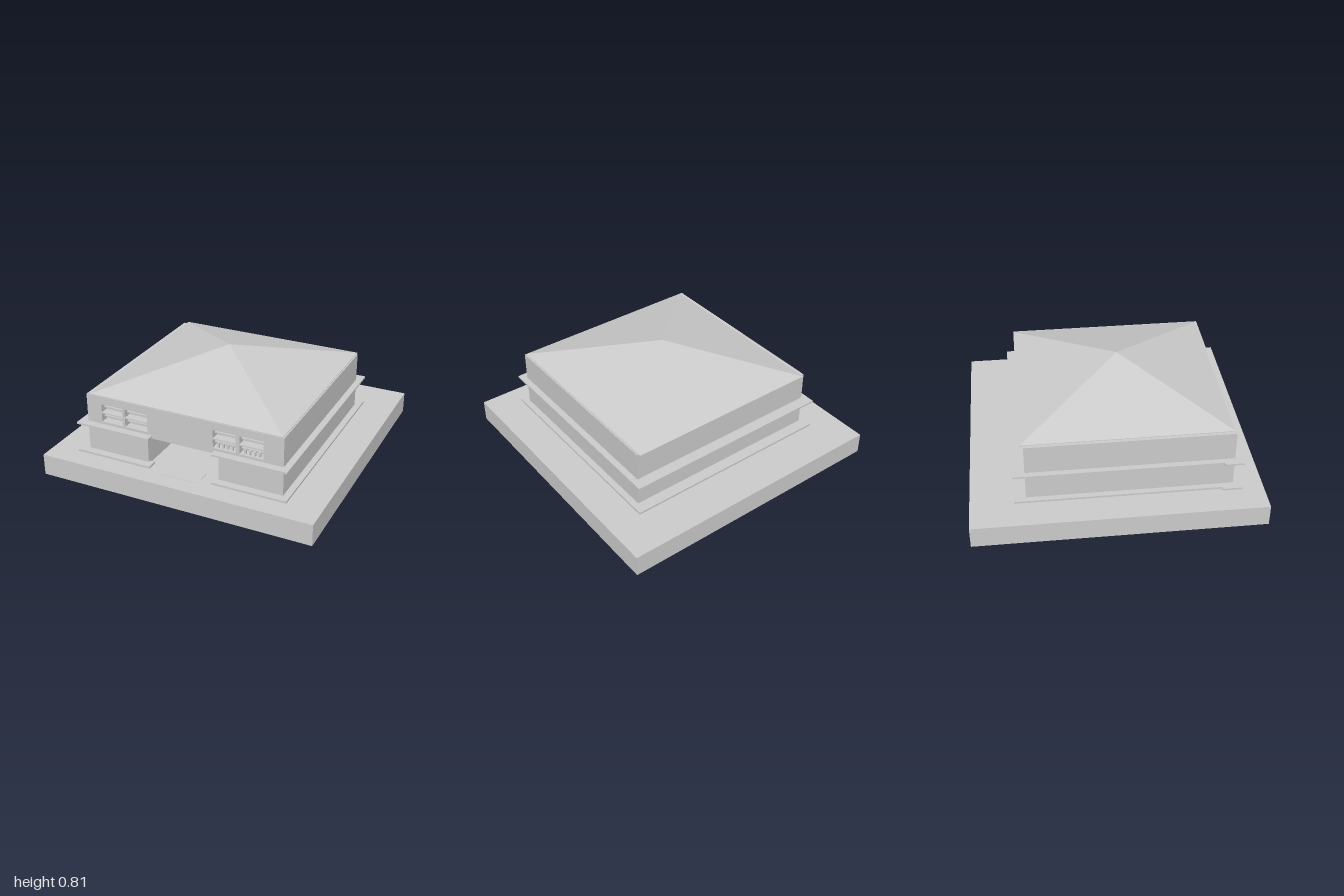
import * as THREE from 'three';

const mat = new THREE.MeshStandardMaterial({ color: 0xcccccc, flatShading: true });
const X0 = -0.745, X1 = 0.715, Y0 = 0.155, Y1 = 0.59, ZB = -0.62, ZF = 0.795;

export function createModel() {
  const group = new THREE.Group();
  const add = (name, geometry) => {
    const mesh = new THREE.Mesh(geometry, mat);
    mesh.name = name;
    group.add(mesh);
    return mesh;
  };
  // Box given by its limits
  const box = (name, x0, x1, y0, y1, z0, z1) =>
    add(name, new THREE.BoxGeometry(x1 - x0, y1 - y0, z1 - z0))
      .position.set((x0 + x1) / 2, (y0 + y1) / 2, (z0 + z1) / 2);
  // Wall slice with an entrance cut up from the floor and optional holes
  const slice = (name, z0, z1, entrance, holes = []) => {
    const pts = [[X0, Y0], ...entrance, [X1, Y0], [X1, Y1], [X0, Y1]];
    const shape = new THREE.Shape(pts.map(p => new THREE.Vector2(...p)));
    for (const [a, b, c, d] of holes) {
      shape.holes.push(new THREE.Path([[a, c], [a, d], [b, d], [b, c]].map(p => new THREE.Vector2(...p))));
    }
    add(name, new THREE.ExtrudeGeometry(shape, { depth: z1 - z0, bevelEnabled: false })).position.z = z0;
  };

  // Ground block
  box('base', -1, 1, 0, Y0, -1, 1);

  // Window openings: two columns and two rows on each side
  const columns = [[-0.63, -0.467], [-0.447, -0.275], [0.215, 0.38], [0.405, 0.575]];
  const windows = columns.flatMap(([a, b]) => [[a, b, 0.402, 0.464], [a, b, 0.472, 0.533]]);

  // Building, sliced from front to back around the entrance
  const square = [[-0.275, Y0], [-0.275, 0.36], [0.255, 0.36], [0.255, Y0]];
  const haunched = [[-0.275, Y0], [-0.275, 0.3], [-0.09, 0.358], [0.07, 0.358], [0.255, 0.3], [0.255, Y0]];
  slice('frontWall', 0.735, ZF, square, windows);
  slice('entranceHall', 0.6, 0.735, square);
  slice('haunchedHall', 0.2, 0.6, haunched);
  box('rearBlock', X0, X1, Y0, Y1, ZB, 0.2);

  // Thin slats across the windows, balusters in the lower right ones
  for (const [a, b, c, d] of windows) {
    const mid = (c + d) / 2;
    box('windowSlat', a, b, mid - 0.004, mid + 0.004, 0.75, 0.765);
    if (a > 0 && c < 0.45) {
      for (let i = 1; i < 5; i++) {
        const x = a + (b - a) * i / 5;
        box('baluster', x - 0.006, x + 0.006, c, mid, 0.765, 0.78);
      }
    }
  }

  // Ledges around the foot and the middle, open at the entrance
  for (const [y0, y1] of [[Y0, 0.17], [0.37, 0.383]]) {
    box('backLedge', -0.785, 0.76, y0, y1, -0.7, ZB);
    box('rightLedge', -0.785, X0, y0, y1, ZB, 0.715);
    box('rightCornerLedge', -0.805, X0, y0, y1, 0.715, ZF);
    box('leftLedge', X1, 0.76, y0, y1, ZB, ZF);
    box('frontRightLedge', -0.805, -0.24, y0, y1, ZF - 0.02, 0.85);
    box('frontLeftLedge', 0.225, 0.76, y0, y1, ZF - 0.02, 0.85);
  }

  // Low doorstep
  box('doorstep', -0.16, 0.14, Y0, 0.157, 0.7, 0.88);

  // Hipped roof with a thin eave
  box('eave', -0.72, 0.705, 0.585, 0.594, -0.64, 0.79);
  const cone = new THREE.ConeGeometry(Math.SQRT1_2, 1, 4, 1).rotateY(Math.PI / 4).scale(1.425, 0.218, 1.43);
  add('roof', cone).position.set(-0.008, 0.702, 0.075);

  return group;
}
